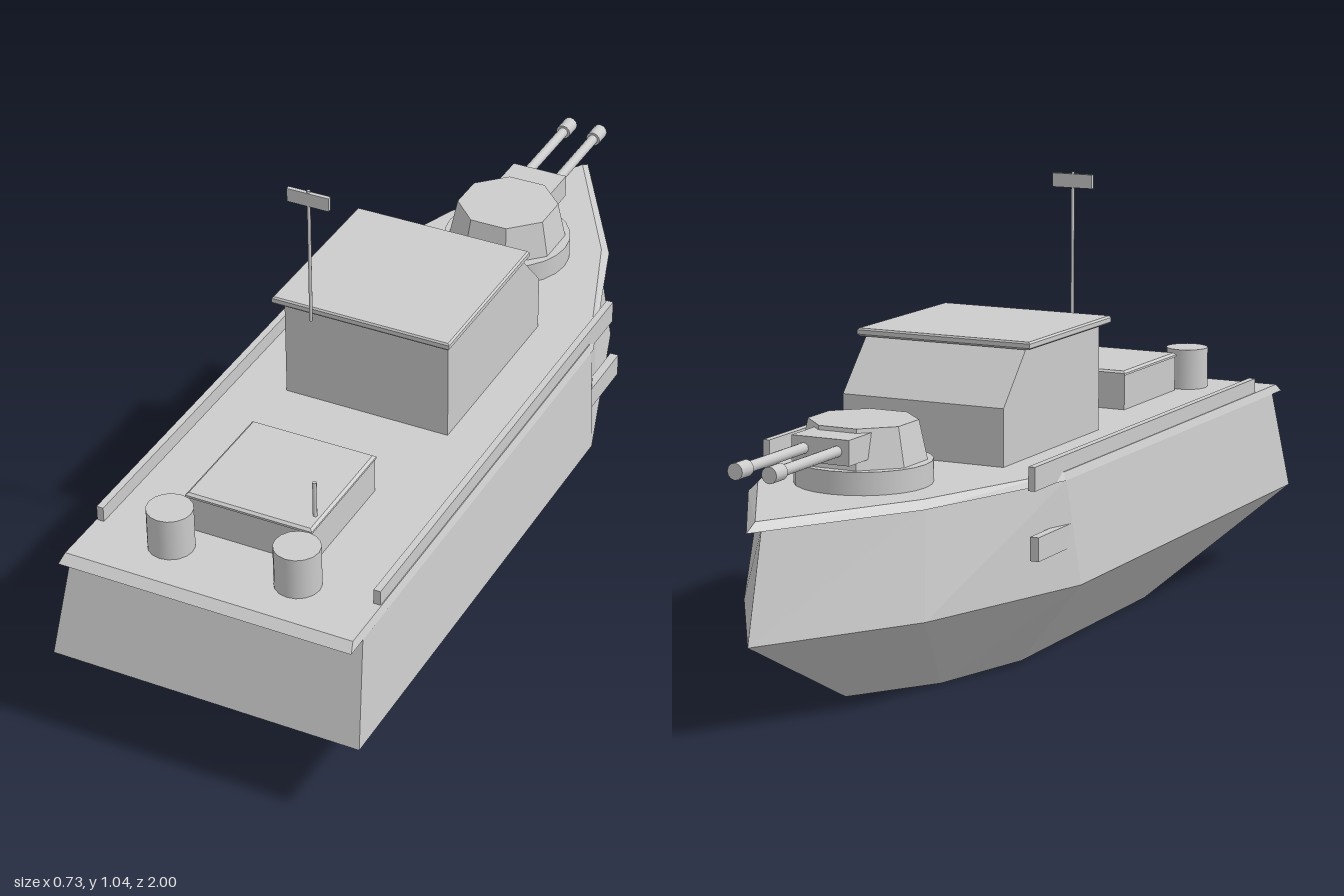
import * as THREE from 'three';

const grey = new THREE.MeshStandardMaterial({ color: 0xcccccc });
grey.name = 'paintedSteel';

// Closed solid through plan outlines; each level is [y, half outline of [x, z] from stern to bow tip]
function loft(levels) {
  const rings = levels.map(([y, half]) => {
    const port = half.slice(0, -1).reverse().map(([x, z]) => [-x, z]);
    return [...half, ...port].map(([x, z]) => [x, y, z]);
  });
  const pos = [];
  const tri = (a, b, c) => pos.push(...a, ...b, ...c);
  const n = rings[0].length;
  for (let r = 0; r < rings.length - 1; r++) {
    const a = rings[r], b = rings[r + 1];
    for (let i = 0; i < n; i++) {
      const j = (i + 1) % n;
      tri(a[i], a[j], b[j]);
      tri(a[i], b[j], b[i]);
    }
  }
  const low = rings[0], high = rings[rings.length - 1];
  for (let i = 1; i < n - 1; i++) {
    tri(low[0], low[i + 1], low[i]);
    tri(high[0], high[i], high[i + 1]);
  }
  const geo = new THREE.BufferGeometry();
  geo.setAttribute('position', new THREE.Float32BufferAttribute(pos, 3));
  geo.computeVertexNormals();
  return geo;
}

// Box given by its minimum and maximum corners
function block([x0, y0, z0], [x1, y1, z1]) {
  return new THREE.BoxGeometry(x1 - x0, y1 - y0, z1 - z0)
    .translate((x0 + x1) / 2, (y0 + y1) / 2, (z0 + z1) / 2);
}

// Upright cylinder between two heights
function post(x, z, y0, y1, r, sides = 16) {
  return new THREE.CylinderGeometry(r, r, y1 - y0, sides).translate(x, (y0 + y1) / 2, z);
}

// Cylinder lying along z
function rod(x, y, z0, z1, r) {
  return new THREE.CylinderGeometry(r, r, z1 - z0, 12)
    .rotateX(Math.PI / 2).translate(x, y, (z0 + z1) / 2);
}

export function createModel() {
  const boat = new THREE.Group();
  boat.name = 'patrolBoat';
  const add = (name, geo, parent = boat) => {
    const mesh = new THREE.Mesh(geo, grey);
    mesh.name = name;
    parent.add(mesh);
    return mesh;
  };

  // Hull below and above the chine, then the overhanging deck
  const chine = [0.2, [[0.365, 1], [0.365, -0.2], [0.22, -0.65], [0, -1]]];
  add('lowerHull', loft([
    [0, [[0.2, 0.5], [0.2, -0.16], [0.13, -0.41], [0, -0.6]]],
    chine,
  ]));
  add('upperHull', loft([
    chine,
    [0.438, [[0.343, 0.935], [0.343, -0.23], [0.2, -0.61], [0, -0.94]]],
  ]));
  add('deck', loft([
    [0.437, [[0.344, 0.99], [0.344, -0.24], [0.212, -0.64], [0, -1]]],
    [0.455, [[0.338, 0.97], [0.338, -0.23], [0.2, -0.62], [0, -0.965]]],
  ]));

  // Cabin with sloped windscreen, extruded across the beam
  const side = new THREE.Shape([
    [0.235, 0.45], [0.235, 0.702], [-0.14, 0.702], [-0.25, 0.585], [-0.25, 0.45],
  ].map(([z, y]) => new THREE.Vector2(-z, y)));
  add('cabin', new THREE.ExtrudeGeometry(side, { depth: 0.4, bevelEnabled: false })
    .translate(0, 0, -0.2).rotateY(Math.PI / 2));

  // Roof slab with chamfered edges
  const slab = (x0, x1, z0, z1) => [[x1, z1], [x1, z0], [0, z0]];
  add('cabinRoof', loft([
    [0.7, slab(0, 0.212, -0.152, 0.262)],
    [0.704, slab(0, 0.216, -0.155, 0.265)],
    [0.714, slab(0, 0.216, -0.155, 0.265)],
    [0.718, slab(0, 0.212, -0.152, 0.262)],
  ]));

  // Mast and radar
  add('mast', post(-0.1, 0.3, 0.71, 1.04, 0.004, 8));
  add('radarPanel', block([-0.15, 1.003, 0.295], [-0.05, 1.035, 0.305]));

  // Aft hatch with chamfered lid and a small post
  add('aftHatch', block([-0.148, 0.45, 0.488], [0.148, 0.54, 0.782]));
  add('hatchLid', loft([
    [0.538, slab(0, 0.15, 0.485, 0.785)],
    [0.543, slab(0, 0.15, 0.485, 0.785)],
    [0.548, slab(0, 0.144, 0.491, 0.779)],
  ]));
  add('hatchPost', post(0.132, 0.735, 0.54, 0.633, 0.005, 8));

  // Mirrored fittings
  for (const s of [1, -1]) {
    const label = s > 0 ? 'left' : 'right';
    add(label + 'Drum', post(s * 0.15, 0.85, 0.45, 0.553, 0.051));
    const rail = add(label + 'Rail', block([-0.008, 0.437, -0.37], [0.008, 0.49, 0.84]));
    rail.position.x = s * 0.328;
    const anchor = add(label + 'AnchorBox', block([-0.01, 0.287, -0.38], [0.01, 0.34, -0.22]));
    anchor.position.x = s * 0.34;
  }

  // Gun turret on the foredeck
  const turret = new THREE.Group();
  turret.name = 'gunTurret';
  boat.add(turret);
  add('turretRing', post(0, -0.515, 0.45, 0.505, 0.15, 24), turret);
  const dome = new THREE.CylinderGeometry(0.119, 0.138, 0.088, 8).toNonIndexed();
  dome.computeVertexNormals();
  dome.rotateY(Math.PI / 8).translate(0, 0.547, -0.515);
  add('turretHousing', dome, turret);
  add('gunMantlet', block([-0.069, 0.527, -0.7], [0.069, 0.582, -0.58]), turret);
  for (const s of [1, -1]) {
    add('gunBarrel', rod(s * 0.04, 0.556, -0.96, -0.68, 0.012), turret);
    add('gunMuzzle', rod(s * 0.04, 0.556, -0.975, -0.93, 0.018), turret);
  }
  return boat;
}
